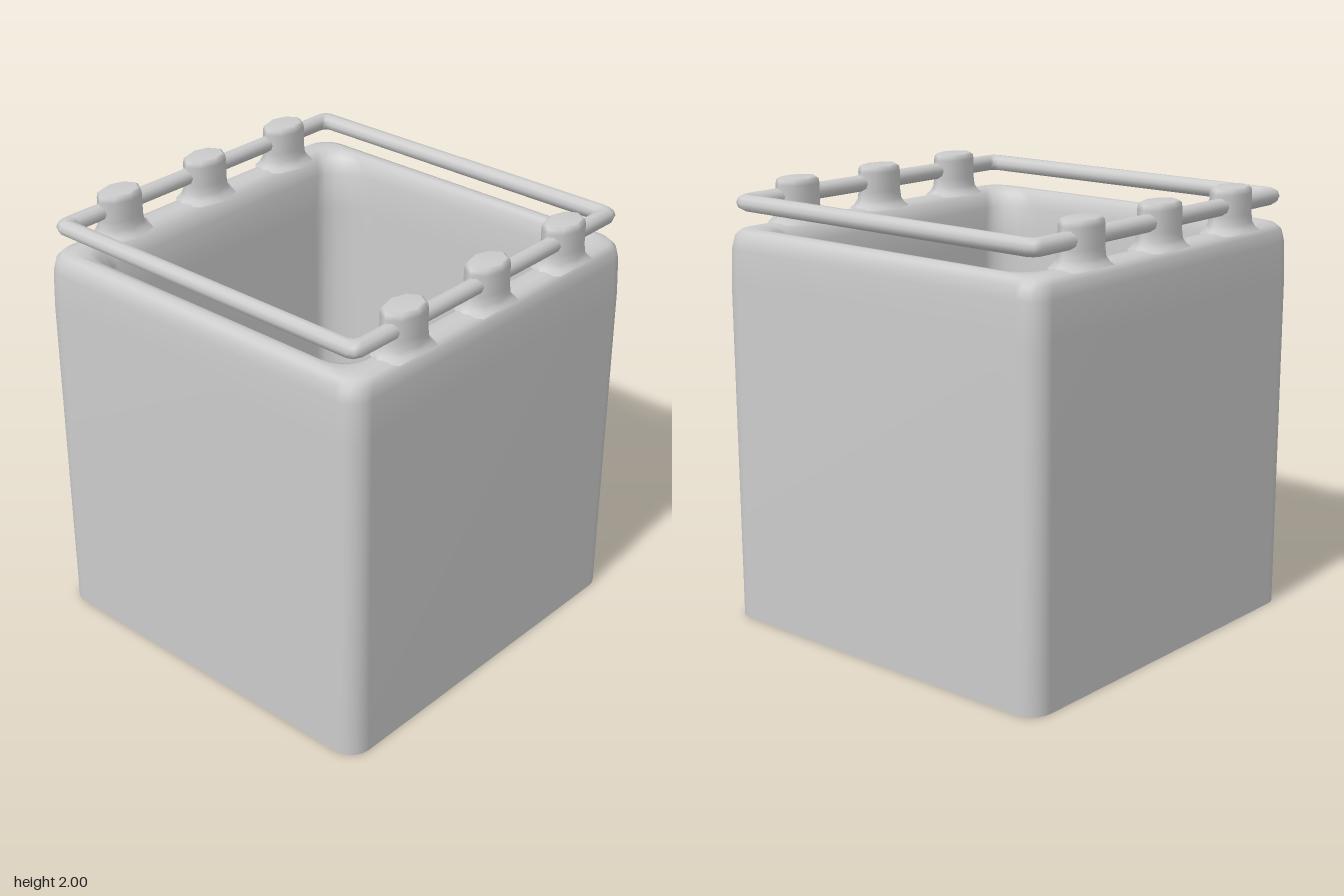
import * as THREE from 'three';

const material = new THREE.MeshStandardMaterial({ color: 0xcccccc, side: THREE.DoubleSide });

// Closed loop of points: a rectangle with elliptical corners
function roundedLoop(hx, hz, rx, rz, steps) {
  const points = [];
  for (let q = 0; q < 4; q++) {
    for (let i = 0; i <= steps; i++) {
      const a = (q + i / steps) * Math.PI / 2;
      const sx = q === 0 || q === 3 ? 1 : -1;
      const sz = q < 2 ? 1 : -1;
      points.push([sx * (hx - rx) + rx * Math.cos(a), sz * (hz - rz) + rz * Math.sin(a)]);
    }
  }
  return points;
}

// Skin a stack of loops; each section is [y, halfX, halfZ, cornerX, cornerZ]
function skin(sections, steps, closed = false) {
  const position = [], index = [], n = 4 * (steps + 1), m = sections.length;
  for (const [y, hx, hz, rx, rz] of sections) {
    for (const [x, z] of roundedLoop(hx, hz, rx, rz, steps)) position.push(x, y, z);
  }
  for (let j = 0; j < (closed ? m : m - 1); j++) {
    const k = (j + 1) % m;
    for (let i = 0; i < n; i++) {
      const a = j * n + i, b = j * n + (i + 1) % n;
      const c = k * n + i, d = k * n + (i + 1) % n;
      index.push(a, c, b, b, c, d);
    }
  }
  const geometry = new THREE.BufferGeometry();
  geometry.setAttribute('position', new THREE.Float32BufferAttribute(position, 3));
  geometry.setIndex(index);
  geometry.computeVertexNormals();
  return geometry;
}

function add(group, name, geometry) {
  const mesh = new THREE.Mesh(geometry, material);
  mesh.name = name;
  group.add(mesh);
  return mesh;
}

export function createModel() {
  const model = new THREE.Group();
  model.name = 'openBox';

  // Hollow shell: up the outside, over the soft rim, down the inside, open below
  add(model, 'shell', skin([
    [0, 0.905, 0.905, 0.1, 0.1],
    [1.55, 0.905, 0.905, 0.1, 0.1],
    [1.72, 0.9, 0.9, 0.1, 0.1],
    [1.775, 0.89, 0.89, 0.1, 0.1],
    [1.8, 0.87, 0.87, 0.1, 0.1],
    [1.81, 0.83, 0.84, 0.11, 0.1],
    [1.807, 0.78, 0.81, 0.14, 0.11],
    [1.785, 0.74, 0.79, 0.18, 0.12],
    [1.72, 0.71, 0.775, 0.23, 0.13],
    [1.55, 0.695, 0.765, 0.27, 0.15],
    [0.25, 0.685, 0.755, 0.28, 0.155],
  ], 5));

  // Rail: a round bar following a rectangle with small clipped corners
  const bar = [], sides = 10, r = 0.038;
  for (let i = 0; i < sides; i++) {
    const a = -i / sides * Math.PI * 2;
    const h = 0.828 + r * Math.cos(a);
    const c = 0.035 + 0.3 * r * Math.cos(a);
    bar.push([1.92 + r * Math.sin(a), h, h, c, c]);
  }
  bar.reverse();
  add(model, 'rail', skin(bar, 2, true));

  // Posts: oval eight-sided pegs, flared at the foot and softened on top
  const profile = [[1.42, 1.8], [1.2, 1.818], [1.05, 1.84], [1, 1.88], [1, 1.97], [0.96, 1.99], [0.82, 2], [0, 2]]
    .map(([x, y]) => new THREE.Vector2(x, y));
  const posts = new THREE.Group();
  posts.name = 'posts';
  model.add(posts);
  for (const side of [-1, 1]) {
    for (const z of [-0.52, 0, 0.52]) {
      const geometry = new THREE.LatheGeometry(profile, 8);
      geometry.scale(0.08, 1, 0.115);
      geometry.translate(side * 0.815, 0, z);
      // Keep the flare inside the outer wall
      const p = geometry.attributes.position;
      for (let i = 0; i < p.count; i++) {
        p.setX(i, THREE.MathUtils.clamp(p.getX(i), -0.895, 0.895));
      }
      add(posts, 'post', geometry);
    }
  }
  return model;
}
